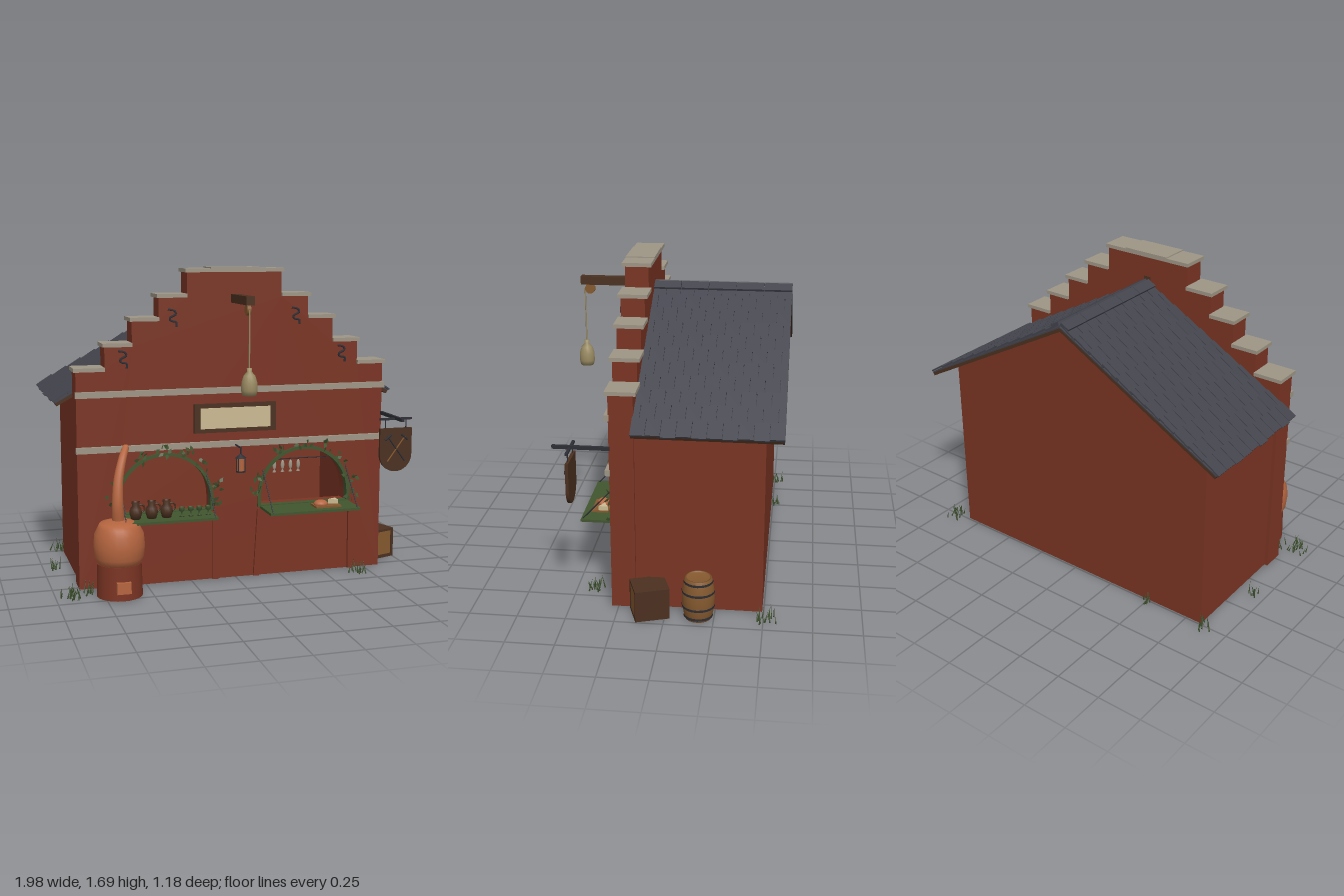
import * as THREE from 'three';

const mat = (name, color, side = THREE.FrontSide) => {
  const m = new THREE.MeshStandardMaterial({ color, side });
  m.name = name;
  return m;
};

export function createModel() {
  const brick = mat('brick', 0x7a3423), stone = mat('stone', 0x9d9585), slate = mat('slate', 0x42434c);
  const copper = mat('copper', 0xb5653f), wood = mat('darkWood', 0x4b3020), oak = mat('oak', 0x85592f);
  const green = mat('green', 0x41552f, THREE.DoubleSide), cream = mat('cream', 0xcbbb92);
  const sackcloth = mat('sackcloth', 0x998a62), iron = mat('iron', 0x2d2e35);
  const root = new THREE.Group();
  root.name = 'gabledShop';
  const CX = -0.008;
  const V = (x, y, z) => new THREE.Vector3(x, y, z);
  const V2 = (a) => a.map(([x, y]) => new THREE.Vector2(x, y));
  let seed = 7;
  const rnd = () => (seed = (seed * 16807) % 2147483647) / 2147483647;

  const add = (name, geo, m, x = 0, y = 0, z = 0, parent = root) => {
    const o = new THREE.Mesh(geo, m);
    o.name = name;
    o.position.set(x, y, z);
    parent.add(o);
    return o;
  };
  const group = (name, x = 0, y = 0, z = 0, parent = root) => {
    const g = new THREE.Group();
    g.name = name;
    g.position.set(x, y, z);
    parent.add(g);
    return g;
  };
  // Box given by its min and max corners
  const block = (name, m, x0, x1, y0, y1, z0, z1, parent = root) =>
    add(name, new THREE.BoxGeometry(x1 - x0, y1 - y0, z1 - z0), m, (x0 + x1) / 2, (y0 + y1) / 2, (z0 + z1) / 2, parent);
  const plate = (name, m, shape, depth, x, y, z, parent = root) =>
    add(name, new THREE.ExtrudeGeometry(shape, { depth, bevelEnabled: false, curveSegments: 16 }), m, x, y, z, parent);
  const rod = (name, m, a, b, r, parent = root) => {
    const o = add(name, new THREE.CylinderGeometry(r, r, a.distanceTo(b), 6), m, 0, 0, 0, parent);
    o.position.copy(a).lerp(b, 0.5);
    o.quaternion.setFromUnitVectors(V(0, 1, 0), b.clone().sub(a).normalize());
    return o;
  };
  const lathe = (name, m, pts, n, x, y, z, parent = root) => add(name, new THREE.LatheGeometry(V2(pts), n), m, x, y, z, parent);

  // Stepped facade with two arched openings
  const steps = [[0.852, 1.155], [0.7, 1.28], [0.555, 1.41], [0.412, 1.53], [0.26, 1.66]];
  const front = new THREE.Shape();
  front.moveTo(-0.852, 0).lineTo(0.852, 0);
  steps.forEach(([w, y], i) => { front.lineTo(w, i ? steps[i - 1][1] : 0); front.lineTo(w, y); });
  [...steps].reverse().forEach(([w, y], i) => { front.lineTo(-w, y); if (i < 4) front.lineTo(-w, steps[3 - i][1]); });
  const archPath = (p, cx, r, y0 = 0.385) => {
    p.moveTo(cx - r, y0).lineTo(cx + r, y0).lineTo(cx + r, 0.445).absarc(cx, 0.445, r, 0, Math.PI, false);
    p.lineTo(cx - r, y0);
    return p;
  };
  const arches = [-0.395, 0.39];
  arches.forEach((x) => front.holes.push(archPath(new THREE.Path(), x - CX, 0.262)));
  plate('facade', brick, front, 0.125, CX, 0, 0.16);

  // Stone copings on the steps, and string courses
  steps.forEach(([w, y], i) => {
    if (i === 4) {
      [-0.27, -0.135, 0.135].forEach((x, k) =>
        block('topCoping', stone, CX + x, CX + [-0.135, 0.135, 0.27][k], y, y + (k === 1 ? 0.026 : 0.02), 0.145, 0.3));
      return;
    }
    const inner = steps[i + 1][0];
    [-1, 1].forEach((s) => add('stepCoping', new THREE.BoxGeometry(w + 0.012 - inner, 0.02, 0.155), stone,
      CX + s * (w + 0.012 + inner) / 2, y + 0.01, 0.2225));
  });
  [0.73, 1.02].forEach((y) => {
    block('stringCourse', stone, -0.866, 0.852, y, y + 0.032, 0.28, 0.305);
  });

  // Hollow house body and rear gable
  block('leftWall', brick, 0.755, 0.825, 0, 1.01, -0.49, 0.165);
  block('rightWall', brick, -0.841, -0.771, 0, 1.01, -0.49, 0.165);
  const back = new THREE.Shape(V2([[-0.833, 0], [0.833, 0], [0.833, 1.015], [0, 1.475], [-0.833, 1.015]]));
  plate('backWall', brick, back, 0.07, CX, 0, -0.492);

  // Roof slopes with staggered slates
  const a = Math.atan2(0.52, 0.945), L = 1.079;
  [0, Math.PI].forEach((turn) => {
    const slope = group('roofSlope', CX, 1.505, -0.21);
    slope.rotation.set(0, turn, -a);
    block('roofBoards', wood, 0, L, -0.022, -0.004, -0.372, 0.372, slope);
    block('slateBed', slate, 0, L, -0.004, 0.002, -0.374, 0.374, slope);
    for (let r = 0; r < 11; r++) {
      for (let c = 0; c <= 10; c++) {
        const z0 = Math.max(-0.375, -0.375 + (c - (r % 2) * 0.5) * 0.075) + 0.002;
        const z1 = Math.min(0.375, -0.375 + (c + 1 - (r % 2) * 0.5) * 0.075) - 0.002;
        if (z1 - z0 < 0.01) continue;
        const len = 0.108 + (rnd() - 0.5) * 0.014;
        const t = block('slateTile', slate, 0, len, 0, 0.009, z0, z1, slope);
        t.position.set(r * 0.098 + len / 2, 0.011, (z0 + z1) / 2);
        t.rotation.z = -0.07;
      }
    }
    for (let c = 0; c < 5; c++)
      block('ridgeSlate', slate, -0.005, 0.05, 0.016, 0.028, -0.375 + c * 0.15, -0.228 + c * 0.15, slope);
  });

  // Shop openings: frame, counter, stays, small buttresses
  arches.forEach((cx, i) => {
    const ring = archPath(new THREE.Shape(), cx, 0.268);
    ring.holes.push(archPath(new THREE.Path(), cx, 0.25, 0.395));
    plate('archFrame', green, ring, 0.04, 0, 0, 0.255);
    const x0 = i ? 0.138 : -0.655, x1 = i ? 0.65 : -0.15;
    block('counter', green, x0, x1, 0.376, 0.39, 0.265, 0.478);
    [x0 + 0.015, x1 - 0.015].forEach((x) => rod('counterStay', iron, V(x, 0.388, 0.47), V(x, 0.59, 0.285), 0.003));
    [-1, 1].forEach((s) => {
      const wedge = new THREE.Shape(V2([[0, 0], [s * 0.03, 0], [s * 0.008, 0.376], [0, 0.376]]));
      plate('buttress', brick, wedge, 0.02, cx + s * 0.262, 0, 0.28);
    });
  });

  // Ivy around the arches
  const leafGeo = new THREE.ShapeGeometry(new THREE.Shape(V2([[0, 0], [0.011, 0.012], [0, 0.034], [-0.011, 0.012]])));
  arches.forEach((cx) => [-0.08, 0.25, 0.72, 1.15, 1.6, 2.1, 2.75, 3.05].forEach((t) => {
    const ivy = group('ivyCluster', cx + 0.28 * Math.cos(t), 0.45 + 0.28 * Math.sin(t), 0.295);
    for (let k = 0; k < 7; k++) {
      const l = add('ivyLeaf', leafGeo, green, (rnd() - 0.5) * 0.06, (rnd() - 0.5) * 0.04, rnd() * 0.03, ivy);
      l.rotation.set(rnd() * 1.2 - 0.6, rnd() * 2 - 1, rnd() * 6.3);
    }
  }));

  // Grass tufts: x, z, spread, blades
  const blade = new THREE.ConeGeometry(0.005, 1, 3).translate(0, 0.5, 0);
  [[-0.93, 0.41, 0.09, 20], [-0.84, 0.37, 0.06, 9], [0.67, 0.39, 0.07, 15], [-0.93, -0.12, 0.05, 9], [0.92, -0.52, 0.08, 16],
    [-0.88, -0.51, 0.07, 12], [-0.5, -0.52, 0.04, 6]].forEach(([x, z, w, n]) => {
    const tuft = group('grassTuft', x, 0, z);
    for (let k = 0; k < n; k++) {
      const b = add('grassBlade', blade, green, (rnd() - 0.5) * w * 1.3, 0, (rnd() - 0.5) * w * 1.2, tuft);
      b.scale.y = 0.035 + rnd() * 0.045;
      b.rotation.set(rnd() * 0.7 - 0.35, 0, rnd() * 0.7 - 0.35);
    }
  });

  // Copper still on a brick hearth
  const still = group('still', -0.67, 0, 0.42);
  add('hearth', new THREE.CylinderGeometry(0.115, 0.12, 0.175, 24), brick, 0, 0.0875, 0, still);
  lathe('copperPot', copper, [[0, 0.172], [0.11, 0.172], [0.128, 0.21], [0.134, 0.27], [0.128, 0.33], [0.11, 0.365], [0.1, 0.385],
    [0.06, 0.395], [0, 0.4]], 24, 0, 0, 0, still);
  block('fireDoor', copper, -0.037, 0.037, 0.04, 0.1, 0.105, 0.132, still);
  const curve = new THREE.CatmullRomCurve3([V(0, 0.38, -0.01), V(-0.005, 0.48, 0), V(0.005, 0.6, -0.025), V(0.035, 0.7, -0.07), V(0.065, 0.755, -0.125)]);
  const neck = new THREE.TubeGeometry(curve, 20, 0.034, 12), np = neck.attributes.position;
  for (let i = 0; i < np.count; i++) {
    const u = Math.floor(i / 13) / 20, c = curve.getPointAt(u);
    const p = V(0, 0, 0).fromBufferAttribute(np, i).sub(c).multiplyScalar(1 - 0.45 * u).add(c);
    np.setXYZ(i, p.x, p.y, p.z);
  }
  add('swanNeck', neck, copper, 0, 0, 0, still);
  add('neckCap', new THREE.SphereGeometry(0.018, 10, 8), copper, 0.065, 0.752, -0.125, still);

  // Hoist beam, pulley, rope and sack
  block('hoistBeam', wood, CX - 0.022, CX + 0.022, 1.5, 1.545, 0.16, 0.57);
  add('pulley', new THREE.CylinderGeometry(0.028, 0.028, 0.02, 16), oak, CX, 1.475, 0.522).rotation.z = Math.PI / 2;
  rod('rope', sackcloth, V(CX, 1.17, 0.55), V(CX, 1.475, 0.55), 0.004);
  lathe('sack', sackcloth, [[0, 0], [0.036, 0.002], [0.043, 0.03], [0.041, 0.07], [0.03, 0.105], [0.012, 0.125], [0.014, 0.142], [0, 0.145]],
    14, CX, 1.037, 0.55);

  // Name board
  block('boardFrame', wood, -0.236, 0.22, 0.81, 0.966, 0.28, 0.305);
  block('boardPanel', cream, -0.202, 0.186, 0.833, 0.944, 0.304, 0.311);

  // Wall anchors
  [[0.34, 1.425], [0.605, 1.215]].forEach(([x, y]) => [-1, 1].forEach((s) => {
    const path = new THREE.CatmullRomCurve3([[-0.025, 0.045], [0.012, 0.036], [0.018, 0.02], [-0.014, 0], [-0.01, -0.014], [0.02, -0.022], [0.02, -0.046]]
      .map(([px, py]) => V(px, py, 0)));
    add('wallAnchor', new THREE.TubeGeometry(path, 20, 0.006, 6), iron, CX + s * x, y, 0.293);
  }));

  // Hanging shield sign
  const sign = group('hangingSign', 0.845, 0, 0);
  block('bracketArm', iron, -0.008, 0.008, 0.866, 0.884, 0.28, 0.57, sign);
  block('bracketCross', iron, -0.092, 0.092, 0.865, 0.876, 0.472, 0.486, sign);
  [-0.06, 0.06].forEach((x) => rod('signChain', iron, V(x, 0.815, 0.479), V(x, 0.87, 0.479), 0.003, sign));
  const shield = new THREE.Shape();
  shield.moveTo(0.093, 0.82).lineTo(-0.093, 0.82).lineTo(-0.093, 0.675).absellipse(0, 0.675, 0.093, 0.093, Math.PI, Math.PI * 2, false);
  plate('shield', wood, shield, 0.016, 0, 0, 0.471, sign);
  [-1, 1].forEach((s) => {
    rod('crossedTool', s > 0 ? oak : iron, V(-s * 0.05, 0.64, 0.493), V(s * 0.05, 0.775, 0.493), 0.004, sign);
    rod('toolHead', iron, V(s * 0.03, 0.785, 0.493), V(s * 0.066, 0.757, 0.493), 0.006, sign);
  });

  // Lantern
  const lantern = group('lantern', CX, 0, 0.4);
  rod('lanternBracket', iron, V(0, 0.74, -0.12), V(0, 0.74, 0.005), 0.005, lantern);
  rod('lanternHook', iron, V(0, 0.7, 0), V(0, 0.74, 0), 0.003, lantern);
  add('lanternGlass', new THREE.CylinderGeometry(0.021, 0.021, 0.07, 8), copper, 0, 0.65, 0, lantern);
  add('lanternRoof', new THREE.ConeGeometry(0.032, 0.025, 8), iron, 0, 0.697, 0, lantern);
  add('lanternBase', new THREE.CylinderGeometry(0.027, 0.027, 0.008, 8), iron, 0, 0.613, 0, lantern);
  for (let k = 0; k < 4; k++) {
    const t = k * Math.PI / 2 + 0.78, x = 0.025 * Math.cos(t), z = 0.025 * Math.sin(t);
    rod('lanternBar', iron, V(x, 0.613, z), V(x, 0.688, z), 0.003, lantern);
  }

  // Barrels: one outside, one lying on a stand indoors
  const barrel = (x, y, z) => {
    const g = group('barrel', x, y, z);
    const r = (h) => 0.068 + 0.016 * (1 - (h / 0.1125) ** 2);
    const pts = [-0.1125, -0.08, -0.04, 0, 0.04, 0.08, 0.1125].map((h) => [r(h), h]);
    lathe('staves', oak, [[0, -0.11], [0.062, -0.11], ...pts, [0.06, 0.1125], [0.06, 0.103], [0, 0.103]], 20, 0, 0, 0, g);
    [-0.095, -0.04, 0.04, 0.095].forEach((h) => add('hoop', new THREE.CylinderGeometry(r(h) + 0.003, r(h) + 0.003, 0.013, 20, 1, true), iron, 0, h, 0, g));
    return g;
  };
  barrel(0.903, 0.1125, -0.17);
  barrel(0.14, 0.2, -0.33).rotation.z = Math.PI / 2;
  [0.08, 0.2].forEach((x) => block('barrelStand', wood, x - 0.015, x + 0.015, 0, 0.13, -0.4, -0.26));

  // Crate with framed front
  const crate = group('crate', 0.901, 0, 0.08);
  crate.rotation.y = 0.33;
  block('crateBody', wood, -0.075, 0.075, 0, 0.165, -0.087, 0.082, crate);
  block('crateLid', wood, -0.077, 0.077, 0.155, 0.168, -0.089, 0.089, crate);
  block('crateFront', oak, -0.06, 0.06, 0.015, 0.155, 0.08, 0.085, crate);
  block('crateRail', wood, -0.075, 0.075, 0, 0.018, 0.08, 0.089, crate);
  [-1, 1].forEach((s) => block('cratePost', wood, s * 0.068 - 0.009, s * 0.068 + 0.009, 0, 0.165, 0.08, 0.089, crate));

  // Jugs and goblets on the right counter of the shop
  [-0.575, -0.49, -0.41].forEach((x) => {
    lathe('jug', wood, [[0, 0], [0.024, 0], [0.033, 0.03], [0.03, 0.055], [0.018, 0.07], [0.022, 0.092], [0.016, 0.092], [0.012, 0.07], [0, 0.066]], 14, x, 0.39, 0.39);
    add('jugHandle', new THREE.TorusGeometry(0.021, 0.005, 6, 12), wood, x + 0.026, 0.445, 0.39);
  });
  [-0.333, -0.285, -0.238, -0.19].forEach((x) =>
    lathe('goblet', green, [[0, 0], [0.014, 0.002], [0.004, 0.006], [0.004, 0.026], [0.014, 0.034], [0.016, 0.052], [0.012, 0.052], [0, 0.036]], 10, x, 0.39, 0.41));

  // Bread, cheese and hanging fish
  block('servingBoard', oak, 0.41, 0.555, 0.39, 0.4, 0.345, 0.437);
  add('bread', new THREE.SphereGeometry(0.04, 14, 10), copper, 0.452, 0.405, 0.39).scale.set(1, 0.55, 0.85);
  const cheese = new THREE.Shape(V2([[0, 0], [0.05, -0.025], [0.05, 0.025]]));
  plate('cheese', cream, cheese, 0.024, 0.5, 0.4, 0.375).rotation.x = -Math.PI / 2;
  rod('fishRail', iron, V(0.18, 0.64, 0.262), V(0.6, 0.64, 0.262), 0.003);
  [0.225, 0.272, 0.318, 0.363].forEach((x) => {
    add('fishBody', new THREE.SphereGeometry(0.012, 10, 8), stone, x, 0.608, 0.268).scale.set(0.9, 2.2, 0.5);
    add('fishTail', new THREE.ConeGeometry(0.012, 0.02, 4), stone, x, 0.578, 0.268).scale.z = 0.3;
  });
  return root;
}
